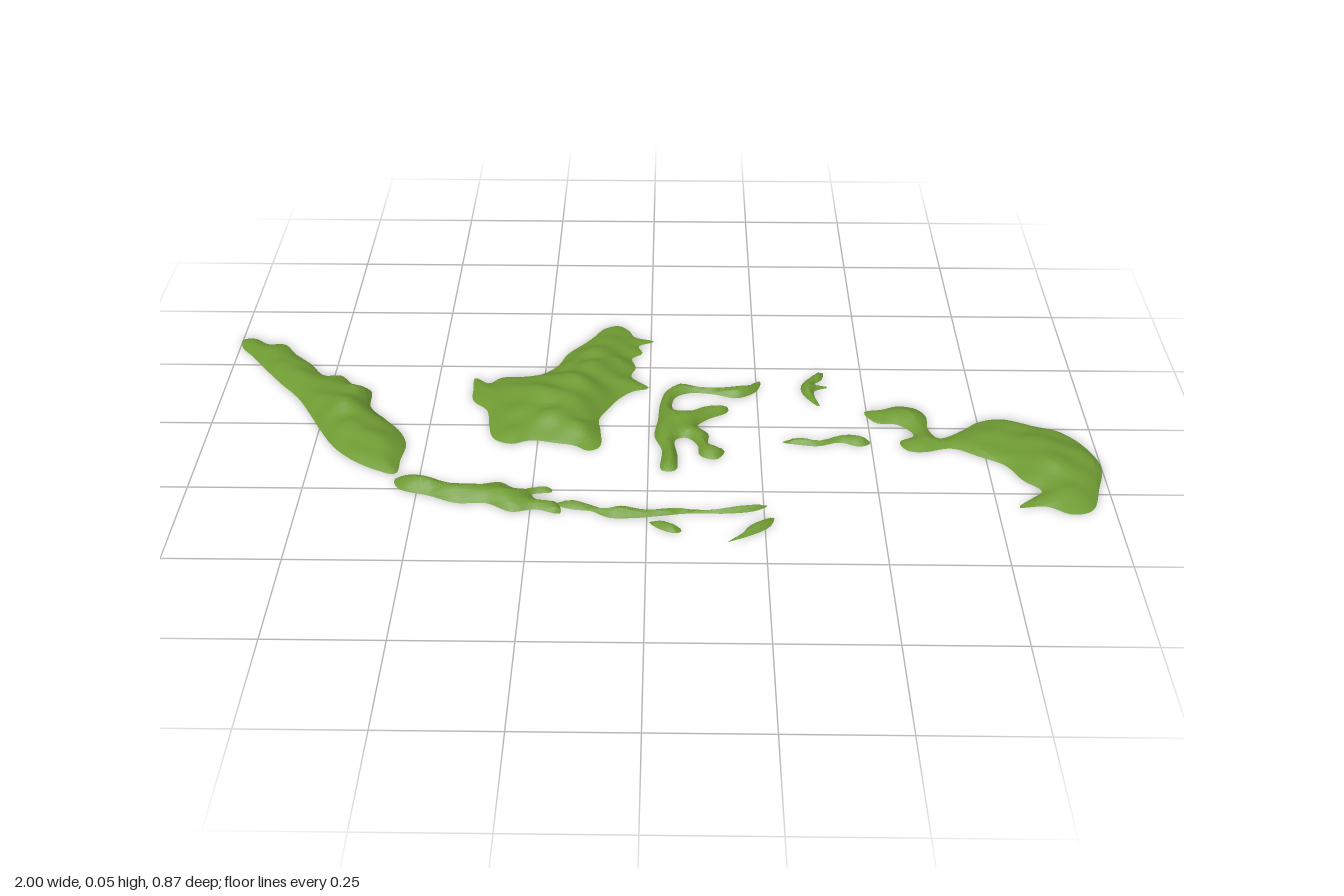
import * as THREE from 'three';
import { mergeVertices } from 'three/addons/utils/BufferGeometryUtils.js';

// Each island: coast as x,z pairs in hundredths, base height, shore width,
// and hills as [x, z, radius x, radius z, height]
const ISLANDS = {
  westIsland: {
    base: 0.013, shore: 0.022,
    hills: [[-0.7, -0.06, 0.09, 0.1, 0.026], [-0.63, 0.09, 0.06, 0.08, 0.014], [-0.84, -0.22, 0.07, 0.07, 0.008]],
    coast: [-100, -36.5, -97, -37, -93.5, -34.5, -89.5, -34.5, -86, -30, -81.5, -25.5, -77.5, -20.5, -73.5, -20.5,
      -70, -16.5, -65.5, -14, -64.5, -7, -60.5, -2, -56.5, 3, -54.5, 8, -55, 14, -55.5, 19.5, -60, 18, -65.5, 14.5,
      -70.5, 9.5, -74.5, 3, -78.5, -4.5, -82, -10.5, -87, -16.5, -92, -23, -96, -28.5, -99.5, -33],
  },
  largeIsland: {
    base: 0.013, shore: 0.03,
    hills: [[-0.2, -0.1, 0.1, 0.12, 0.034], [-0.12, -0.25, 0.07, 0.08, 0.018], [-0.19, 0.03, 0.09, 0.05, 0.01]],
    coast: [-8, -44.3, -5.5, -42, -4, -39, 0.8, -37, -3, -34.8, -2, -31.5, -4.5, -29, -3.5, -25, -4.5, -21, -0.3, -16,
      -4, -14.5, -7, -11.5, -9.5, -7, -11.5, -2.5, -11, 2, -11, 8.5, -13.5, 10, -16.5, 8, -21, 7, -26.5, 6, -31, 7.5,
      -35, 5.5, -36.5, 0, -37.5, -6, -41, -10, -41.5, -15.5, -41.5, -20, -38, -17.5, -35.5, -20, -33, -20.5, -27, -21,
      -22.5, -25, -20, -31, -16.5, -35.5, -14, -39, -11.5, -43],
  },
  southIsland: {
    base: 0.019, shore: 0.016, hills: [[-0.47, 0.25, 0.06, 0.05, 0.012], [-0.33, 0.27, 0.06, 0.04, 0.008]],
    coast: [-55.3, 21.5, -51.5, 20, -47, 22, -42, 23.5, -36.5, 23.5, -32, 22.5, -28, 25, -21.5, 24, -20.5, 25.7,
      -25, 26.7, -24, 28.3, -19.5, 29.5, -18.5, 33.5, -24, 32, -29, 33, -34.5, 30, -41, 30, -47, 27.5, -54, 25],
  },
  islandChain: {
    base: 0.017, shore: 0.011, hills: [],
    coast: [-20, 30, -16, 29, -12, 30.5, -9, 32, -5.5, 31, 0, 32, 5.5, 31.5, 13.5, 32, 20, 30.5, 26, 30, 23, 32,
      17, 33, 9.5, 33, 3, 34, -2.5, 34.8, -8, 34.8, -12, 32.5, -16, 32],
  },
  smallSouthIsland: {
    base: 0.014, shore: 0.01, hills: [],
    coast: [0.5, 36.2, 4, 36.2, 7.5, 39, 6.5, 40, 3, 38.8],
  },
  southEastIsland: {
    base: 0.014, shore: 0.01, hills: [],
    coast: [17, 42.8, 20, 40, 22, 37, 27, 34.2, 26, 37.5, 22, 40.5, 19, 42],
  },
  branchedIsland: {
    base: 0.022, shore: 0.014, hills: [],
    coast: [4, -15, 7, -17.5, 11.5, -16, 18, -16, 23, -17, 26, -19.5, 25, -15, 20.5, -12, 15, -13.5, 9.5, -14, 6, -12,
      5.5, -7, 8.5, -5.5, 12.5, -7.5, 18, -8, 18, -6, 13.5, -3, 11, 0, 13.5, 3, 13.5, 7, 17, 9.5, 15, 13, 11.5, 11.5,
      11, 7.5, 8.5, 4.5, 6, 5.5, 6.5, 12, 6, 17.3, 3, 17.3, 3, 9.5, 1.3, 4, 2, -2.5, 2.5, -9.5],
  },
  northEastIsland: {
    base: 0.018, shore: 0.011, hills: [],
    coast: [36, -18.5, 41, -23.5, 40.5, -20, 38.5, -18, 42, -17, 38.5, -15, 39.5, -8.5, 37, -11.5, 35.5, -15],
  },
  middleEastIsland: {
    base: 0.018, shore: 0.012, hills: [],
    coast: [30, 6, 34, 4.5, 38, 5.5, 43, 3.5, 47, 3.5, 50, 6, 47.5, 7.5, 43, 6, 38, 7.5, 34, 7],
  },
  eastIsland: {
    base: 0.015, shore: 0.022, hills: [[0.9, 0.14, 0.08, 0.1, 0.02], [0.58, -0.03, 0.05, 0.05, 0.007]],
    coast: [49.5, -6.5, 53.5, -7.5, 57.5, -9, 61.5, -8, 63.5, -5, 63.5, 0.5, 65.5, 4, 71.5, 0.5, 75, -2.5, 80.5, -4,
      87, -1.5, 93.5, 1.5, 97.5, 6.5, 100, 14.5, 98, 23, 95, 31, 90.5, 32.3, 85.5, 29.5, 79.5, 30, 83, 26.5, 85.5, 24,
      82, 20, 79, 14.5, 73.5, 11, 68, 8, 61.5, 9.5, 58, 9, 56.5, 5.5, 60, 3, 56.5, -1.5, 52, -2],
  },
};

// Distance from a point to the closed coast line
function coastDistance(p, ring) {
  let best = Infinity;
  ring.forEach((a, i) => {
    const b = ring[(i + 1) % ring.length];
    const dx = b.x - a.x, dy = b.y - a.y;
    const t = THREE.MathUtils.clamp(((p.x - a.x) * dx + (p.y - a.y) * dy) / (dx * dx + dy * dy), 0, 1);
    best = Math.min(best, Math.hypot(p.x - a.x - t * dx, p.y - a.y - t * dy));
  });
  return best;
}

// Rolling ground: steep shore, broad hills and small ripples
function groundHeight(x, z, d, { base, shore, hills }) {
  let h = base;
  for (const [hx, hz, rx, rz, top] of hills) h += top * Math.exp(-(((x - hx) / rx) ** 2) - ((z - hz) / rz) ** 2);
  const ripple = 1 + 0.12 * Math.sin(48 * x + 30 * z + 2 * Math.sin(25 * z)) + 0.1 * Math.sin(75 * z - 34 * x);
  return h * ripple * (1 - Math.exp(-d / shore));
}

function islandGeometry(island) {
  const points = [];
  for (let i = 0; i < island.coast.length; i += 2) {
    points.push(new THREE.Vector3(island.coast[i] / 100, -island.coast[i + 1] / 100, 0));
  }
  const curve = new THREE.CatmullRomCurve3(points, true);
  const ring = curve.getSpacedPoints(Math.ceil(curve.getLength() / 0.011)).slice(0, -1)
    .map((p) => new THREE.Vector2(p.x, p.y));
  if (THREE.ShapeUtils.isClockWise(ring)) ring.reverse();

  // Halve the longest edge until every triangle is small
  const positions = [];
  const split = (a, b, c) => {
    const ab = a.distanceTo(b), bc = b.distanceTo(c), ca = c.distanceTo(a);
    const longest = Math.max(ab, bc, ca);
    if (longest < 0.018) {
      for (const p of [a, b, c]) {
        positions.push(p.x, groundHeight(p.x, -p.y, coastDistance(p, ring), island), -p.y);
      }
    } else if (longest === bc) split(b, c, a);
    else if (longest === ca) split(c, a, b);
    else {
      const m = a.clone().add(b).multiplyScalar(0.5);
      split(a, m, c);
      split(m, b, c);
    }
  };
  for (const [a, b, c] of THREE.ShapeUtils.triangulateShape(ring, [])) split(ring[a], ring[b], ring[c]);

  const geometry = new THREE.BufferGeometry();
  geometry.setAttribute('position', new THREE.Float32BufferAttribute(positions, 3));
  const merged = mergeVertices(geometry, 1e-5);
  merged.computeVertexNormals();
  return merged;
}

export function createModel() {
  const group = new THREE.Group();
  group.name = 'islands';
  const grass = new THREE.MeshStandardMaterial({ color: 0x6f9a33, side: THREE.DoubleSide });
  grass.name = 'grass green';
  for (const [name, island] of Object.entries(ISLANDS)) {
    const mesh = new THREE.Mesh(islandGeometry(island), grass);
    mesh.name = name;
    group.add(mesh);
  }
  return group;
}
